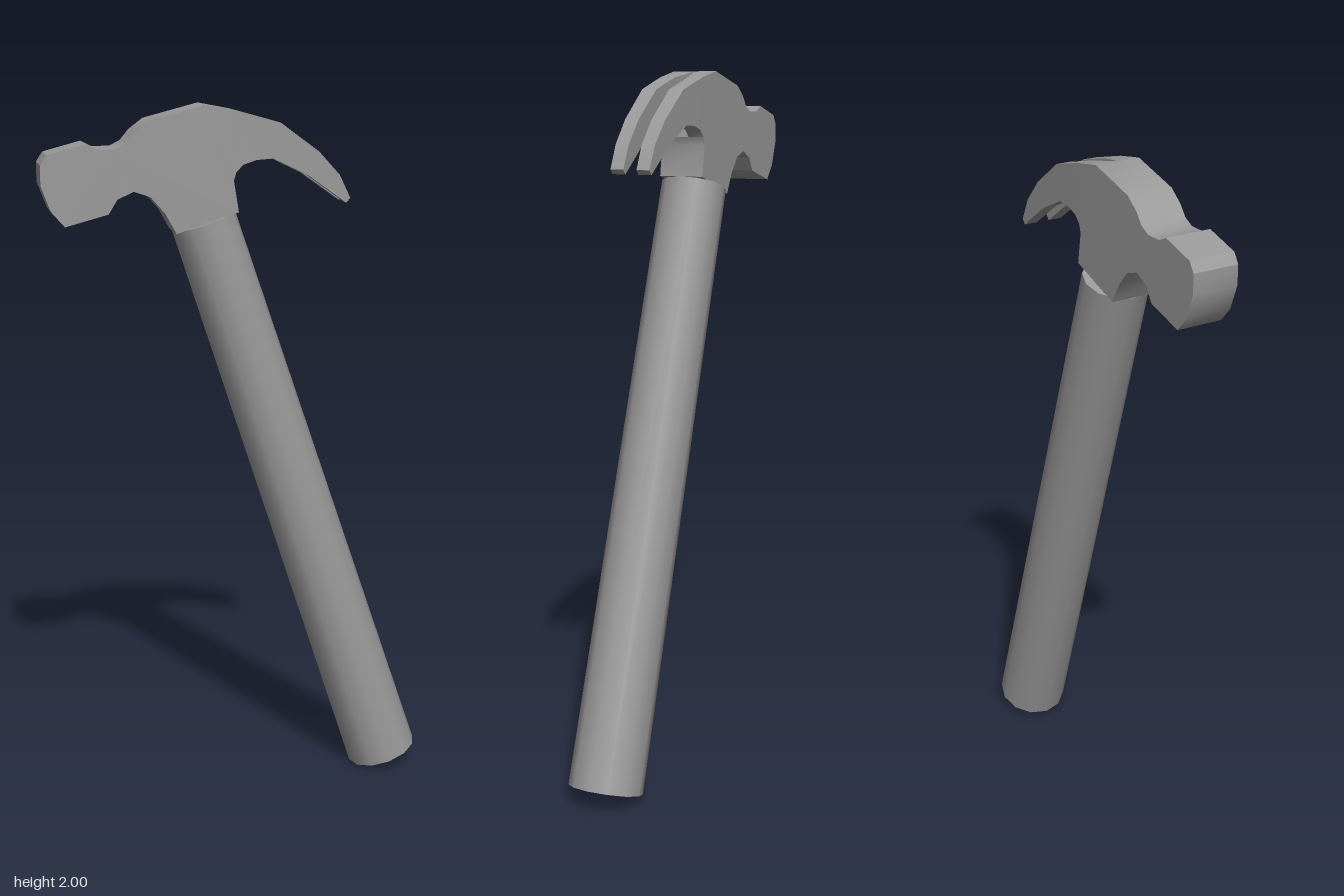
import * as THREE from 'three';
import { mergeGeometries, toCreasedNormals } from 'three/addons/utils/BufferGeometryUtils.js';

const material = new THREE.MeshStandardMaterial({ color: 0x999999 });
const clamp = THREE.MathUtils.clamp;

// From the claw root at the crown, round the striking face and neck, to the claw's underside
const bodyOutline = [
  [-0.1, 2], [-0.255, 1.96], [-0.295, 1.93], [-0.32, 1.9], [-0.35, 1.885], [-0.4, 1.885],
  [-0.43, 1.9], [-0.535, 1.872], [-0.553, 1.845], [-0.553, 1.79], [-0.527, 1.72], [-0.49, 1.678],
  [-0.37, 1.71], [-0.345, 1.75], [-0.3, 1.77], [-0.255, 1.755], [-0.215, 1.71], [-0.183, 1.652],
  [-0.008, 1.708], [-0.022, 1.795], [-0.015, 1.818],
];
// Wedge where the slot opens, then the curved prong
const rootOutline = [[-0.1, 2], [-0.015, 1.818], [-0.01, 1.983]];
const prongOutline = [
  [-0.01, 1.983], [-0.015, 1.818], [0.005, 1.838], [0.042, 1.85], [0.09, 1.853], [0.19, 1.805],
  [0.3, 1.727], [0.312, 1.74], [0.28, 1.805], [0.22, 1.87], [0.11, 1.95],
];

// Extrude an outline over z = 0..1, then place both sides by rule
function slab(outline, backZ, frontZ) {
  const shape = new THREE.Shape(outline.map(([x, y]) => new THREE.Vector2(x, y)));
  const geometry = new THREE.ExtrudeGeometry(shape, { depth: 1, bevelEnabled: false });
  const p = geometry.attributes.position;
  for (let i = 0; i < p.count; i++) {
    const x = p.getX(i);
    p.setZ(i, p.getZ(i) > 0.5 ? frontZ(x) : backZ(x));
  }
  return geometry;
}

export function createModel() {
  const model = new THREE.Group();
  model.name = 'clawHammer';

  // Tapered, leaning handle
  const bottom = new THREE.Vector3(0.452, 0.035, 0);
  const top = new THREE.Vector3(-0.096, 1.68, 0);
  const axis = top.clone().sub(bottom);
  const handle = new THREE.Mesh(new THREE.CylinderGeometry(0.093, 0.105, axis.length(), 12), material);
  handle.name = 'handle';
  handle.position.copy(bottom).add(top).multiplyScalar(0.5);
  handle.rotation.z = Math.atan2(-axis.x, axis.y);
  model.add(handle);

  // Striking body and two claws with a V-shaped slot, smoothed as one surface
  const half = (x) => 0.066 - 0.008 * clamp(x / 0.31, 0, 1);
  const gap = (x) => 0.0195 * clamp((x + 0.1) / 0.085, 0, 1);
  const parts = [slab(bodyOutline, (x) => -half(x), half)];
  for (const outline of [rootOutline, prongOutline]) {
    parts.push(slab(outline, gap, half), slab(outline, (x) => -half(x), (x) => -gap(x)));
  }
  const head = new THREE.Mesh(toCreasedNormals(mergeGeometries(parts), 0.52), material);
  head.name = 'clawHead';
  head.position.z = -0.003;
  head.rotation.y = 0.028; // slightly turned on the handle
  model.add(head);

  return model;
}
